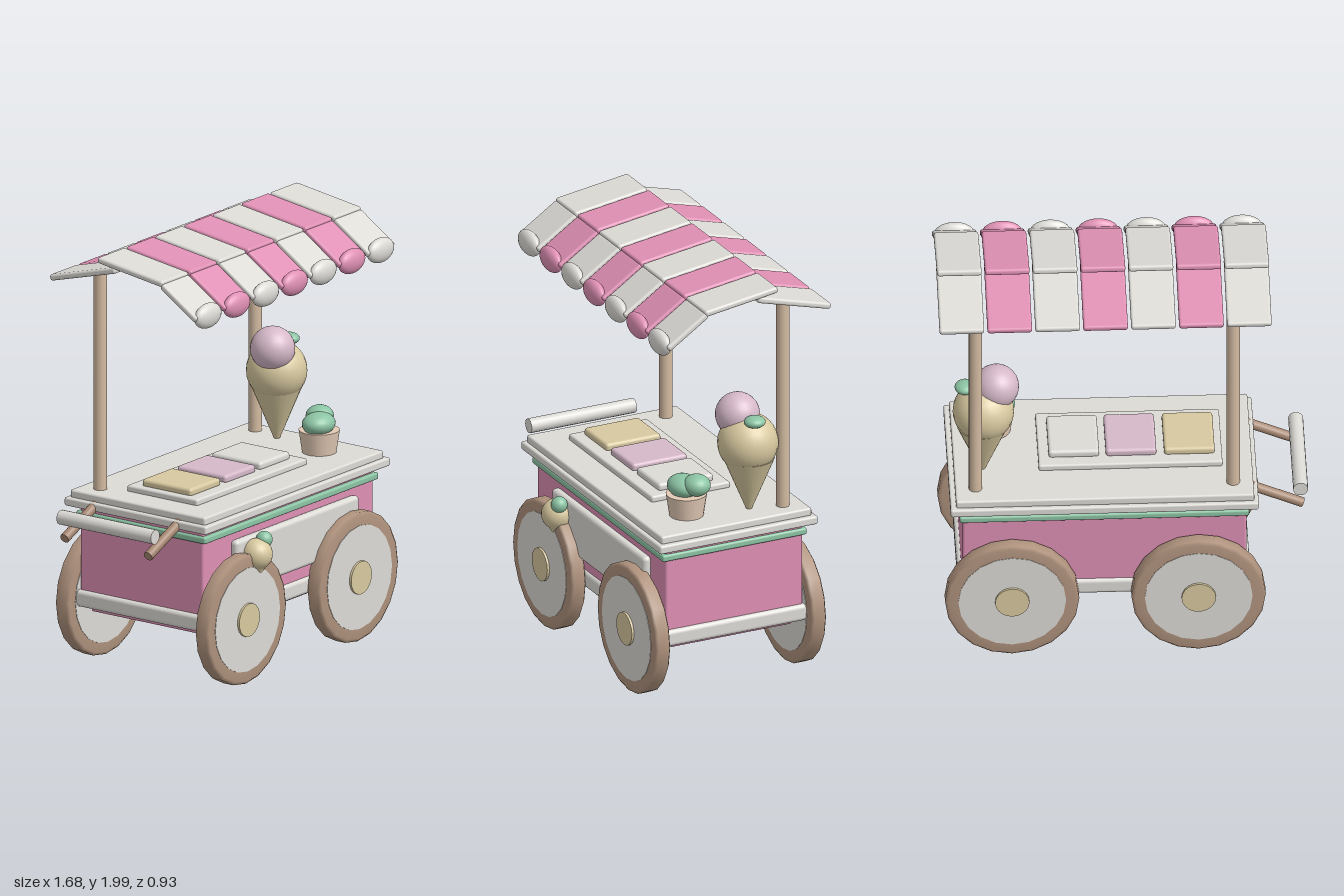
import * as THREE from 'three';
import { RoundedBoxGeometry } from 'three/addons/geometries/RoundedBoxGeometry.js';

const material = (name, color) => {
  const m = new THREE.MeshStandardMaterial({ color });
  m.name = name;
  return m;
};

export function createModel() {
  const cart = new THREE.Group();
  cart.name = 'iceCreamCart';

  const pink = material('rose pink', 0xdf90b4);
  const white = material('warm white', 0xdddbd6);
  const mint = material('mint green', 0x8cc4a4);
  const brown = material('wheel brown', 0xb0937e);
  const wood = material('handle wood', 0xa58670);
  const tan = material('post tan', 0xd4bca2);
  const wafer = material('wafer yellow', 0xd8c9a0);
  const lilac = material('berry cream', 0xd6b9c9);
  const peach = material('cup peach', 0xe4cbb6);

  const add = (name, geometry, mat, x, y, z, parent = cart) => {
    const mesh = new THREE.Mesh(geometry, mat);
    mesh.name = name;
    mesh.position.set(x, y, z);
    parent.add(mesh);
    return mesh;
  };
  // Softly bevelled box given by its ranges along x, y and z
  const slab = (name, mat, [x0, x1], [y0, y1], [z0, z1], r = 0.01) =>
    add(name, new RoundedBoxGeometry(x1 - x0, y1 - y0, z1 - z0, 2, r), mat,
      (x0 + x1) / 2, (y0 + y1) / 2, (z0 + z1) / 2);
  const blob = (name, mat, x, y, z, rx, ry = rx, rz = rx) => {
    const mesh = add(name, new THREE.SphereGeometry(1, 24, 16), mat, x, y, z);
    mesh.scale.set(rx, ry, rz);
    return mesh;
  };
  const rod = (name, mat, a, b, r) => {
    const from = new THREE.Vector3(...a), to = new THREE.Vector3(...b);
    const dir = to.clone().sub(from);
    const mid = from.add(to).multiplyScalar(0.5);
    const mesh = add(name, new THREE.CylinderGeometry(r, r, dir.length(), 16), mat, mid.x, mid.y, mid.z);
    mesh.quaternion.setFromUnitVectors(new THREE.Vector3(0, 1, 0), dir.normalize());
    return mesh;
  };

  // Body and trims
  slab('body', pink, [-0.56, 0.73], [0.34, 0.78], [-0.37, 0.33], 0.012);
  slab('bodyBase', pink, [-0.53, 0.70], [0.26, 0.36], [-0.33, 0.29]);
  slab('lowerRail', white, [-0.58, 0.75], [0.285, 0.365], [-0.385, 0.345], 0.02);
  slab('mintTrim', mint, [-0.573, 0.743], [0.705, 0.738], [-0.385, 0.35]);
  slab('counterEdge', white, [-0.615, 0.785], [0.765, 0.805], [-0.42, 0.385]);
  slab('counterTop', white, [-0.595, 0.76], [0.80, 0.84], [-0.40, 0.365]);
  slab('frontPanel', white, [-0.35, 0.58], [0.425, 0.67], [0.32, 0.366], 0.02);

  // Tub tray with three lids
  slab('tray', white, [-0.46, 0.375], [0.835, 0.868], [-0.18, 0.22]);
  [[wafer, -0.312], [lilac, -0.047], [white, 0.213]].forEach(([mat, x], i) =>
    slab('lid' + (i + 1), mat, [x - 0.115, x + 0.115], [0.86, 0.90], [-0.12, 0.16], 0.015));

  // Wheels: bevelled tyre, disc and hub
  const tyreProfile = [[0.235, -0.037], [0.29, -0.037], [0.305, -0.027],
    [0.305, 0.027], [0.29, 0.037], [0.235, 0.037]].map(p => new THREE.Vector2(...p));
  const tyreGeometry = new THREE.LatheGeometry(tyreProfile, 20);
  const discGeometry = new THREE.CylinderGeometry(0.245, 0.245, 0.078, 20);
  const hubGeometry = new THREE.CylinderGeometry(0.078, 0.078, 0.1, 20);
  for (const [side, z] of [['front', 0.378], ['back', -0.415]]) {
    for (const [end, x] of [['Right', -0.34], ['Left', 0.507]]) {
      const wheel = new THREE.Group();
      wheel.name = side + end + 'Wheel';
      wheel.position.set(x, 0.308, z);
      wheel.rotation.x = Math.PI / 2;
      add('tyre', tyreGeometry, brown, 0, 0, 0, wheel);
      add('disc', discGeometry, white, 0, 0, 0, wheel);
      add('hub', hubGeometry, wafer, 0, 0, 0, wheel);
      cart.add(wheel);
    }
  }

  // Push handle
  for (const z of [-0.262, 0.212]) rod('handleArm', wood, [-0.82, 0.685, z], [-0.56, 0.80, z], 0.023);
  rod('handleBar', white, [-0.81, 0.78, -0.29], [-0.81, 0.78, 0.245], 0.034);

  // Awning posts
  for (const x of [-0.503, 0.668]) rod('awningPost', tan, [x, 0.83, -0.297], [x, 1.89, -0.297], 0.031);

  // Awning: each stripe is three sloping panels, given as z, y ends, and a scallop
  const slopes = [
    ['awningFront', 0.17, 1.922, 0.368, 1.79],
    ['awningRidge', -0.19, 1.981, 0.18, 1.928],
    ['awningBack', -0.46, 1.848, -0.09, 1.948],
  ];
  for (let i = 0; i < 7; i++) {
    const x = -0.57 + i * 0.2177;
    const mat = i % 2 ? pink : white;
    for (const [name, z0, y0, z1, y1] of slopes) {
      const length = Math.hypot(z1 - z0, y1 - y0);
      const panel = add(name, new RoundedBoxGeometry(0.203, 0.03, length, 2, 0.012), mat,
        x, (y0 + y1) / 2, (z0 + z1) / 2);
      panel.rotation.x = -Math.atan2(y1 - y0, z1 - z0);
    }
    blob('awningScallop', mat, x, 1.793, 0.363, 0.092, 0.058, 0.036);
  }

  // Large display cone
  add('bigCone', new THREE.CylinderGeometry(0.118, 0.014, 0.25, 24), wafer, 0.63, 0.965, -0.145);
  blob('bigScoop', wafer, 0.625, 1.163, -0.142, 0.14);
  blob('topScoop', lilac, 0.565, 1.283, -0.12, 0.103);
  blob('mintLeaf', mint, 0.708, 1.295, -0.135, 0.048, 0.027, 0.05);

  // Cup with two mint scoops
  add('cup', new THREE.CylinderGeometry(0.094, 0.078, 0.108, 24), peach, 0.568, 0.891, 0.142);
  blob('cupScoop', mint, 0.553, 0.978, 0.15, 0.085, 0.052, 0.072);
  blob('cupScoopSmall', mint, 0.612, 0.995, 0.112, 0.065, 0.05, 0.064);

  // Small cone ornament on the front
  add('smallCone', new THREE.CylinderGeometry(0.058, 0.008, 0.085, 20), wafer, -0.237, 0.518, 0.392);
  blob('smallScoop', wafer, -0.237, 0.59, 0.391, 0.073);
  blob('smallMintScoop', mint, -0.195, 0.652, 0.402, 0.038);

  return cart;
}
